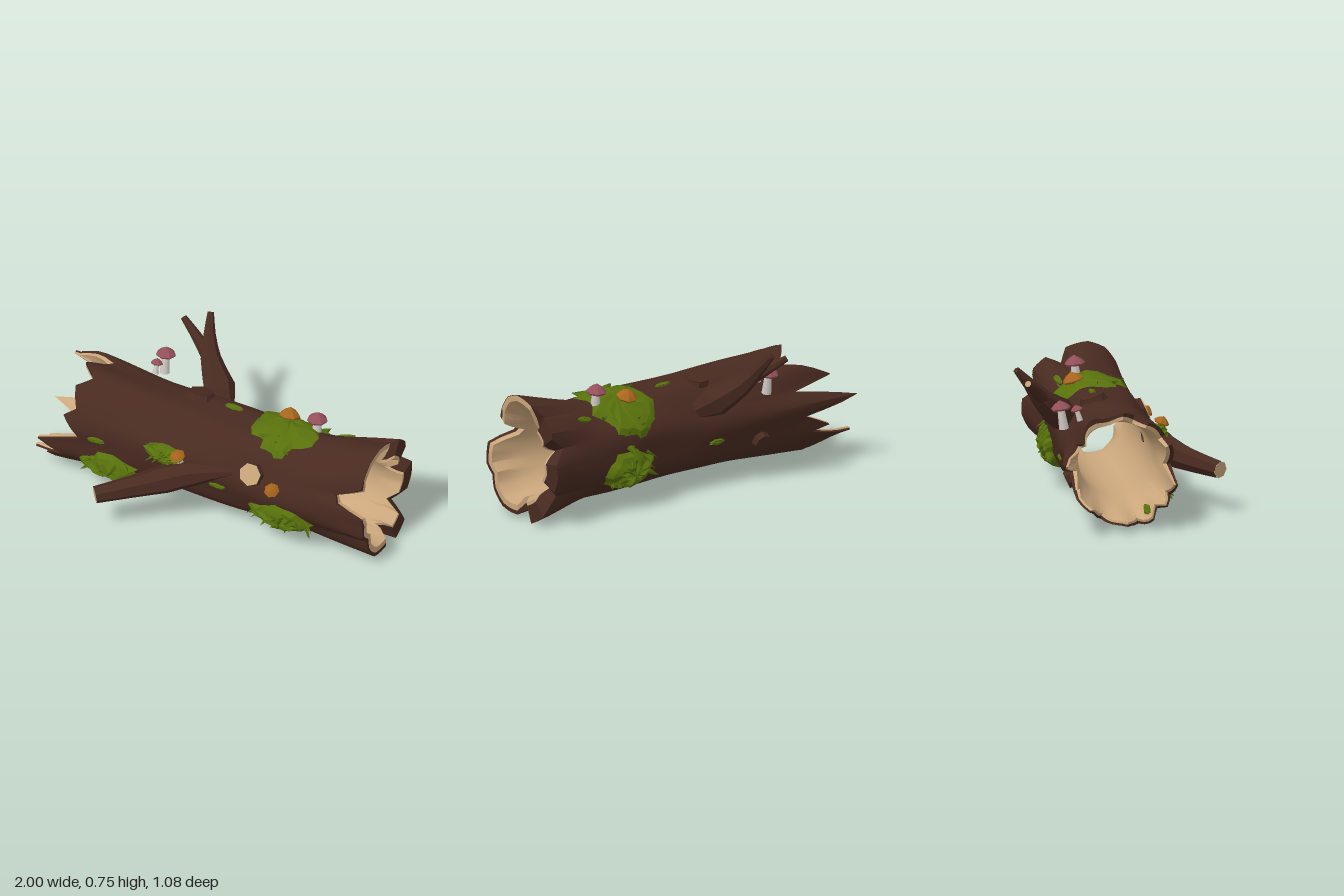
import * as THREE from 'three';
import { toCreasedNormals } from 'three/addons/utils/BufferGeometryUtils.js';

const CY = 0.3, CZ = -0.04, RAD = Math.PI / 180;
const mat = (name, color) => Object.assign(new THREE.MeshStandardMaterial({ color }), { name });
const { lerp, smoothstep, clamp } = THREE.MathUtils;

// seeded noise
let seed = 7;
const rnd = () => (seed = (seed * 16807) % 2147483647) / 2147483647;

// piecewise linear tables over the angle around the log (0 = front, 90 = top)
const table = (pts) => (deg) => {
  const d = ((deg % 360) + 360) % 360;
  const i = pts.findIndex((p, k) => k > 0 && p[0] >= d);
  const a = pts[i - 1], b = pts[i];
  return lerp(a[1], b[1], (d - a[0]) / (b[0] - a[0]));
};
// splintered end
const leftEnd = table([[0, -0.62], [25, -0.72], [35, -0.66], [60, -0.71], [75, -0.64], [90, -0.72], [120, -0.6],
  [145, -0.86], [155, -0.62], [170, -0.95], [185, -0.66], [200, -0.82], [205, -0.72], [220, -1], [245, -0.74],
  [270, -0.93], [285, -0.76], [300, -0.87], [310, -0.78], [320, -0.9], [330, -0.72], [345, -0.86], [360, -0.62]]);
// lobed end, its flared radius, wall thickness and share of bark on the rim
const rightEnd = table([[0, 1], [10, 0.99], [20, 0.84], [30, 0.82], [45, 0.96], [85, 0.98], [105, 0.98], [115, 0.92],
  [125, 0.98], [145, 0.98], [155, 0.9], [170, 0.99], [200, 0.98], [215, 0.92], [230, 1], [250, 1], [260, 0.92], [270, 1], [360, 1]]);
const flare = table([[0, 0.25], [15, 0.26], [30, 0.22], [55, 0.3], [70, 0.34], [85, 0.35], [105, 0.33], [115, 0.28],
  [125, 0.33], [140, 0.33], [155, 0.28], [170, 0.31], [185, 0.31], [200, 0.29], [215, 0.26], [230, 0.32],
  [250, 0.32], [260, 0.24], [270, 0.28], [295, 0.29], [315, 0.27], [330, 0.235], [345, 0.26], [360, 0.25]]);
const wall = table([[0, 0.045], [50, 0.045], [55, 0.03], [105, 0.03], [115, 0.1], [255, 0.11], [270, 0.05], [360, 0.045]]);
const barkShare = table([[0, 0.4], [50, 0.4], [55, 0.1], [105, 0.1], [115, 0.85], [255, 0.85], [270, 0.4], [360, 0.4]]);

const outerR = (x, deg) => {
  const t = clamp((x - 0.64) / 0.35, 0, 1), l = smoothstep(-x, 0.25, 0.95);
  const mid = 0.25 + 0.006 * Math.sin(deg * RAD * 7 + x * 3) + 0.004 * Math.sin(deg * RAD * 4 - x * 8);
  const splay = 0.03 * l + 0.012 * l * Math.sin(deg * RAD * 9) + 0.045 * l * Math.exp(-(((deg - 170) / 11) ** 2));
  return lerp(mid + splay, flare(deg), t);
};
const innerR = (x, deg) => {
  const r = outerR(x, deg);
  const mid = lerp(0.195, r - 0.022, smoothstep(-x, 0.4, 0.85));
  return lerp(mid, Math.max(0.185, r - wall(deg)), smoothstep(x, 0.72, 1));
};
const onLog = (x, deg, r) => new THREE.Vector3(x, CY + r * Math.sin(deg * RAD), CZ + r * Math.cos(deg * RAD));

// grid of quads from a rule f(u, v)
function grid(nu, nv, f, flip = false, crease = 0.5) {
  const pos = [], idx = [];
  for (let j = 0; j <= nv; j++) for (let i = 0; i <= nu; i++) pos.push(...f(i / nu, j / nv).toArray());
  for (let j = 0; j < nv; j++) for (let i = 0; i < nu; i++) {
    const a = j * (nu + 1) + i, b = a + 1, d = a + nu + 1, c = d + 1;
    idx.push(...(flip ? [a, c, b, a, d, c] : [a, b, c, a, c, d]));
  }
  const g = new THREE.BufferGeometry();
  g.setAttribute('position', new THREE.Float32BufferAttribute(pos, 3));
  g.setIndex(idx);
  return toCreasedNormals(g, crease);
}

export function createModel() {
  const model = new THREE.Group();
  model.name = 'hollowLog';
  const bark = mat('bark', 0x482a20), wood = mat('paleWood', 0xcaa67b), moss = mat('moss', 0x58720c);
  const pink = mat('pinkCap', 0x94505a), orange = mat('orangeCap', 0xa8661c), stem = mat('mushroomStem', 0xd0cac4);
  moss.side = THREE.DoubleSide;
  const add = (name, geo, m, parent = model) => {
    const mesh = new THREE.Mesh(geo, m);
    mesh.name = name;
    parent.add(mesh);
    return mesh;
  };

  // hollow trunk: bark skin, pale inside, end rims
  const skin = (rad) => (u, v) => {
    const d = v * 360, x = lerp(leftEnd(d), rightEnd(d), u);
    return onLog(x, d, rad(x, d));
  };
  add('barkSkin', grid(24, 72, skin(outerR)), bark);
  add('hollowInside', grid(24, 72, skin(innerR), true), wood);
  const rim = (end, from, to) => (u, v) => {
    const d = v * 360, x = end(d);
    return onLog(x, d, lerp(outerR(x, d), innerR(x, d), lerp(from(d), to(d), u)));
  };
  const outside = () => 0, middle = () => 0.5, inside = () => 1;
  add('splinteredRimBark', grid(1, 72, rim(leftEnd, outside, middle), true), bark);
  add('splinteredRimWood', grid(1, 72, rim(leftEnd, middle, inside), true), wood);
  add('lobedRimBark', grid(1, 72, rim(rightEnd, outside, barkShare)), bark);
  add('lobedRimWood', grid(1, 72, rim(rightEnd, barkShare, inside)), wood);

  // tapered branches
  function branch(name, pts, radii, tipMat) {
    const curve = new THREE.CatmullRomCurve3(pts.map((p) => new THREE.Vector3(...p)));
    const n = 8, fr = curve.computeFrenetFrames(n), last = radii.length - 1;
    const radius = (t) => { const i = Math.min(last - 1, Math.floor(t * last)); return lerp(radii[i], radii[i + 1], t * last - i); };
    const group = new THREE.Group();
    group.name = name;
    add(name + 'Bark', grid(n, 7, (u, v) => {
      const k = Math.round(u * n), a = (v % 1) * Math.PI * 2;
      return curve.getPoint(u).addScaledVector(fr.normals[k], radius(u) * Math.cos(a))
        .addScaledVector(fr.binormals[k], radius(u) * Math.sin(a));
    }, true), bark, group);
    const cap = add(name + 'Tip', new THREE.CircleGeometry(radii[last], 7), tipMat, group);
    cap.position.copy(curve.getPoint(1));
    cap.lookAt(curve.getPoint(1).add(curve.getTangent(1)));
    model.add(group);
  }
  branch('frontBranch', [[0.24, 0.375, 0.185], [0.03, 0.315, 0.215], [-0.1, 0.27, 0.275], [-0.24, 0.24, 0.38], [-0.385, 0.218, 0.5]],
    [0.02, 0.07, 0.075, 0.058, 0.045], wood);
  branch('backBranch', [[-0.02, 0.42, -0.225], [-0.09, 0.475, -0.29], [-0.19, 0.565, -0.385], [-0.235, 0.655, -0.46], [-0.265, 0.735, -0.53]],
    [0.05, 0.085, 0.055, 0.032, 0.017], bark);
  branch('backBranchFork', [[-0.16, 0.54, -0.36], [-0.28, 0.62, -0.43], [-0.395, 0.685, -0.485]], [0.04, 0.03, 0.017], wood);

  // sawn knots standing on the bark
  function knot(name, x, deg, r, h, face) {
    const g = new THREE.Group();
    g.name = name;
    g.position.copy(onLog(x, deg, outerR(x, deg) - 0.02));
    g.rotation.x = (90 - deg) * RAD;
    const side = add(name + 'Bark', toCreasedNormals(new THREE.CylinderGeometry(r, r * 1.2, h, 7), 0.5), bark, g);
    side.position.y = h / 2;
    const top = add(name + 'Face', new THREE.CylinderGeometry(r, r, 0.006, 7), face, g);
    top.position.y = h + 0.002;
    model.add(g);
  }
  knot('frontKnot', 0.35, 24, 0.06, 0.045, wood);
  knot('topKnot', -0.1, 108, 0.065, 0.035, bark);
  knot('lowerBackKnot', -0.4, 205, 0.045, 0.045, bark);

  // moss cushions with ragged edges and leafy tufts; side is -1 on the inner wall
  function mossPatch(name, xc, hx, ac, ha, h, tufts, surface = outerR, side = 1) {
    const n = 26, rag = Array.from({ length: n }, () => 0.82 + rnd() * 0.28);
    const bump = Array.from({ length: n * 6 }, () => 0.6 + rnd() * 0.6);
    const g = new THREE.Group();
    g.name = name;
    add(name + 'Cushion', grid(5, n, (u, v) => {
      const j = Math.round(v * n) % n, a = j / n * Math.PI * 2, i = Math.round(u * 5);
      const x = xc + hx * u * rag[j] * Math.cos(a), d = ac + ha * u * rag[j] * Math.sin(a);
      const lift = i === 0 ? h : i === 5 ? -0.004 : 0.008 + h * (1 - u * u) * bump[j * 6 + i];
      return onLog(x, d, surface(x, d) + lift * side);
    }, false, 0.3), moss, g);
    for (let i = 0; i < tufts; i++) {
      const a = rnd() * Math.PI * 2, k = 0.5 + 0.45 * rnd();
      const x = xc + hx * k * Math.cos(a), d = ac + ha * k * Math.sin(a);
      const leaf = add(name + 'Leaf', new THREE.ConeGeometry(0.026, 0.065, 4), moss, g);
      leaf.scale.z = 0.35;
      leaf.position.copy(onLog(x, d, surface(x, d) + h * 0.55));
      const out = onLog(0, d, 1).sub(onLog(0, d, 0));
      out.x += Math.cos(a) * 1.2;
      out.y += Math.sin(a) * 0.5 - 0.3;
      leaf.quaternion.setFromUnitVectors(new THREE.Vector3(0, 1, 0), out.normalize());
    }
    model.add(g);
  }
  mossPatch('topMoss', 0.42, 0.2, 108, 60, 0.022, 10);
  mossPatch('backMoss', 0.45, 0.16, 203, 29, 0.05, 16);
  mossPatch('frontLeftMoss', 0.52, 0.19, -29, 25, 0.05, 20);
  mossPatch('frontRightMoss', -0.46, 0.175, -32, 22, 0.05, 20);
  mossPatch('branchMoss', -0.14, 0.125, 15, 12, 0.04, 8);
  [[0.69, 128], [0.1, 103], [0.16, -7], [-0.53, 5], [-0.1, 192]].forEach(([x, d], i) =>
    mossPatch('mossFleck' + (i + 1), x, 0.052, d, 4, 0.004, 0));
  mossPatch('innerMossFleck', -0.74, 0.07, 300, 5, 0.004, 0, innerR, -1);

  // mushrooms: tapered stem and faceted cap
  function mushroom(name, x, y, z, r, h, capMat, tiltX = 0, tiltZ = 0) {
    const g = new THREE.Group();
    g.name = name;
    g.position.set(x, y, z);
    g.rotation.set(tiltX, 0, tiltZ);
    add(name + 'Stem', new THREE.CylinderGeometry(r * 0.35, r * 0.5, h, 7), stem, g).position.y = -h / 2;
    const profile = [[0, 0], [r * 0.9, -r * 0.18], [r, 0], [r * 0.62, r * 0.4], [0, r * 0.78]];
    const cap = new THREE.LatheGeometry(profile.map((p) => new THREE.Vector2(...p)), 7);
    add(name + 'Cap', toCreasedNormals(cap, 0.6), capMat, g);
    model.add(g);
  }
  mushroom('topPinkMushroom', 0.56, 0.612, -0.13, 0.054, 0.09, pink, -0.1);
  mushroom('topOrangeMushroom', 0.385, 0.558, -0.16, 0.056, 0.06, orange, -0.3);
  mushroom('backPinkMushroom', -0.41, 0.56, -0.32, 0.052, 0.11, pink, -0.15);
  mushroom('smallPinkMushroom', -0.42, 0.552, -0.24, 0.032, 0.06, pink, -0.3);
  mushroom('branchOrangeMushroom', -0.05, 0.41, 0.24, 0.042, 0.08, orange, 0.4, 0.1);
  mushroom('knotOrangeMushroom', 0.485, 0.37, 0.225, 0.04, 0.06, orange, 0.6, -0.1);

  return model;
}
